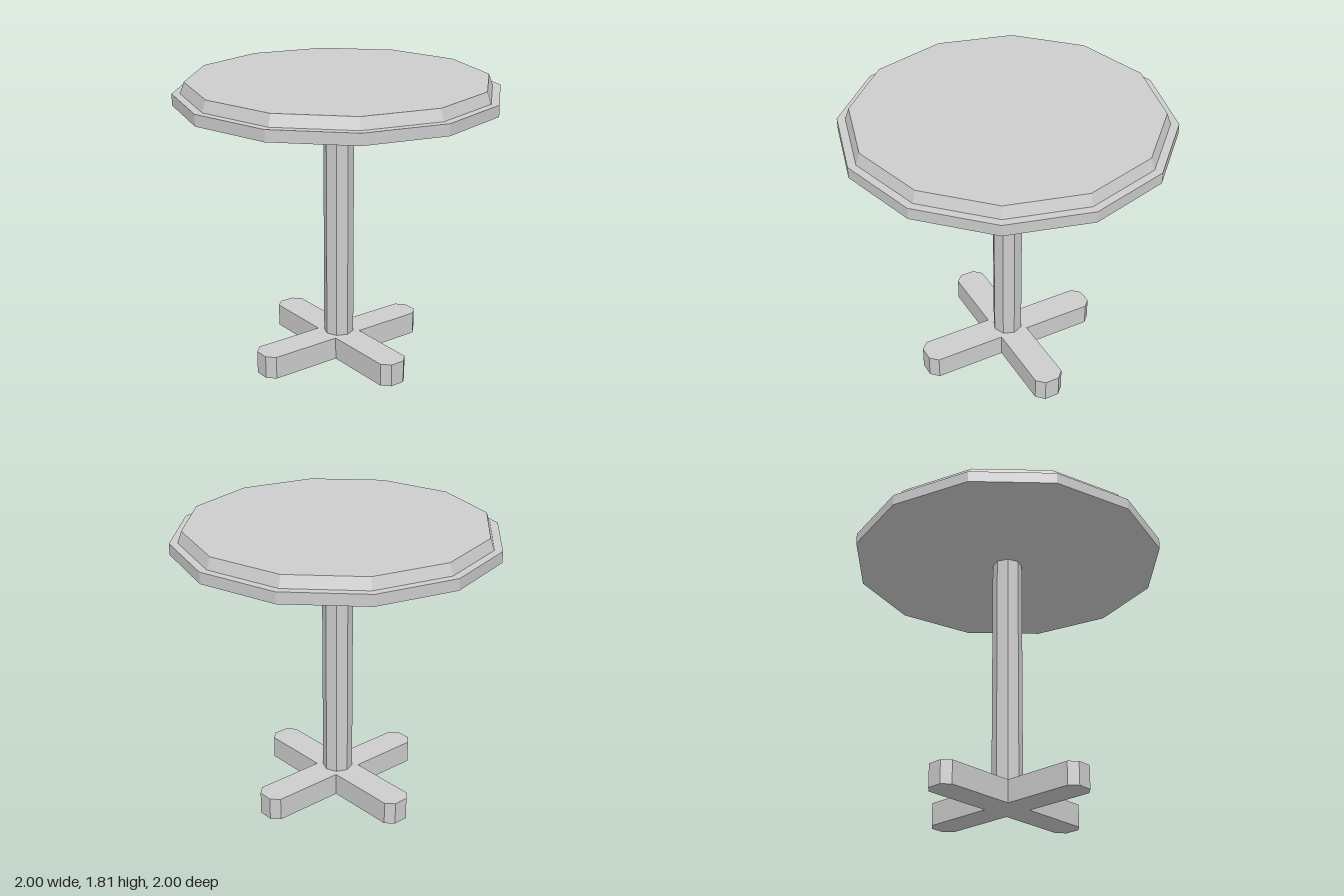
import * as THREE from 'three';

export function createModel() {
  const model = new THREE.Group();
  model.name = 'pedestalTable';

  const grey = new THREE.MeshStandardMaterial({ color: 0xcccccc });
  grey.name = 'grey';
  grey.flatShading = true;

  const add = (name, geometry) => {
    const mesh = new THREE.Mesh(geometry, grey);
    mesh.name = name;
    model.add(mesh);
    return mesh;
  };

  // Upright prism or frustum between two heights
  const prism = (name, topR, bottomR, y0, y1, sides) => {
    const mesh = add(name, new THREE.CylinderGeometry(topR, bottomR, y1 - y0, sides));
    mesh.position.y = (y0 + y1) / 2;
  };

  // Twelve-sided top: wide rim with a tapered slab above
  prism('tabletopRim', 1, 1, 1.67, 1.74, 12);
  prism('tabletopSlab', 0.925, 0.95, 1.74, 1.81, 12);

  // Octagonal column
  prism('column', 0.095, 0.095, 0.145, 1.67, 8);

  // Cross-shaped foot with chamfered arm ends, one arm outline turned four times
  const half = 0.095, reach = 0.6, chamfer = 0.048;
  const arm = [
    [half, -half],
    [reach - chamfer, -half],
    [reach, -half + chamfer],
    [reach, half - chamfer],
    [reach - chamfer, half],
  ];
  const outline = [];
  for (let i = 0; i < 4; i++) {
    for (const [x, y] of arm) {
      outline.push(new THREE.Vector2(x, y).rotateAround(new THREE.Vector2(), i * Math.PI / 2));
    }
  }
  const foot = new THREE.ExtrudeGeometry(new THREE.Shape(outline), { depth: 0.145, bevelEnabled: false });
  foot.rotateX(-Math.PI / 2);
  add('crossFoot', foot);

  return model;
}
